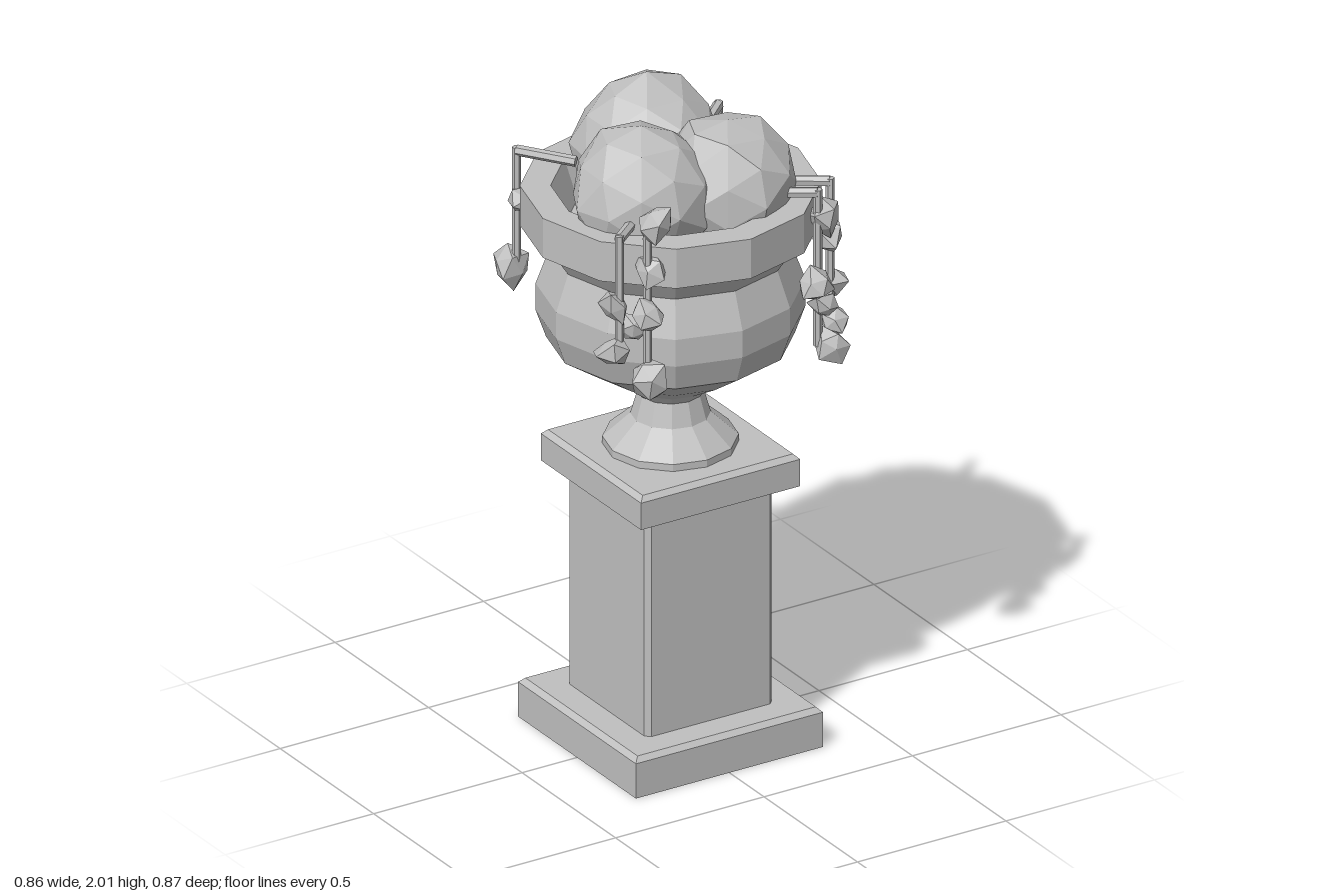
import * as THREE from 'three';

const stone = new THREE.MeshStandardMaterial({ color: 0xc0c0c0, flatShading: true });
stone.name = 'grey stone';

function add(parent, name, geometry, x = 0, y = 0, z = 0) {
  const mesh = new THREE.Mesh(geometry, stone);
  mesh.name = name;
  mesh.position.set(x, y, z);
  parent.add(mesh);
  return mesh;
}

// Square block tapering from half width a to half width b
function squareBlock(parent, name, a, b, y0, y1) {
  const g = new THREE.CylinderGeometry(b * Math.SQRT2, a * Math.SQRT2, y1 - y0, 4);
  g.rotateY(Math.PI / 4);
  return add(parent, name, g, 0, (y0 + y1) / 2, 0);
}

// Faceted lump: each corner is pushed in or out by a repeatable amount
function lump(radius, detail, rough, seed) {
  const g = new THREE.IcosahedronGeometry(radius, detail);
  const p = g.attributes.position;
  const v = new THREE.Vector3();
  for (let i = 0; i < p.count; i++) {
    v.fromBufferAttribute(p, i);
    const key = [v.x, v.y, v.z].map(c => Math.round(c / radius * 100));
    const h = Math.sin(key[0] * 12.9 + key[1] * 78.2 + key[2] * 37.7 + seed * 9.1) * 43758.5;
    v.multiplyScalar(1 + rough * ((h - Math.floor(h)) * 2 - 1));
    p.setXYZ(i, v.x, v.y, v.z);
  }
  g.computeVertexNormals();
  return g;
}

// Straight six-sided stem between two points
function stem(parent, name, a, b, radius) {
  const from = new THREE.Vector3(...a);
  const dir = new THREE.Vector3(...b).sub(from);
  const mesh = add(parent, name, new THREE.CylinderGeometry(radius, radius, dir.length(), 6));
  mesh.position.copy(from).addScaledVector(dir, 0.5);
  mesh.quaternion.setFromUnitVectors(new THREE.Vector3(0, 1, 0), dir.normalize());
}

function buildPedestal() {
  const group = new THREE.Group();
  group.name = 'pedestal';
  squareBlock(group, 'base', 0.315, 0.315, 0, 0.11);
  squareBlock(group, 'baseBevel', 0.315, 0.3, 0.11, 0.125);
  squareBlock(group, 'cap', 0.268, 0.268, 0.82, 0.905);
  squareBlock(group, 'capBevel', 0.268, 0.253, 0.905, 0.92);

  // Shaft with chamfered corners
  const w = 0.215, c = 0.2;
  const outline = new THREE.Shape([
    [w, -c], [w, c], [c, w], [-c, w], [-w, c], [-w, -c], [-c, -w], [c, -w],
  ].map(q => new THREE.Vector2(...q)));
  const shaft = new THREE.ExtrudeGeometry(outline, { depth: 0.7, bevelEnabled: false });
  shaft.rotateX(-Math.PI / 2);
  add(group, 'shaft', shaft, 0, 0.123, 0);
  return group;
}

function buildUrn() {
  // Foot, stem, bowl, rim and sunken inside in one profile
  const profile = [
    [0.195, 0.915], [0.195, 0.942], [0.115, 1.015], [0.095, 1.085], [0.115, 1.11],
    [0.235, 1.18], [0.355, 1.26], [0.385, 1.345], [0.385, 1.43], [0.345, 1.54],
    [0.395, 1.615], [0.43, 1.615], [0.43, 1.74], [0.342, 1.74], [0.3, 1.62], [0, 1.62],
  ].map(q => new THREE.Vector2(...q));
  const group = new THREE.Group();
  group.name = 'urn';
  add(group, 'urnBody', new THREE.LatheGeometry(profile, 12));
  return group;
}

function buildFoliage() {
  const group = new THREE.Group();
  group.name = 'foliage';
  [
    [0.03, 1.79, -0.175, 0.21],
    [-0.15, 1.78, 0.08, 0.205],
    [0.11, 1.77, 0.13, 0.205],
  ].forEach(([x, y, z, r], i) => {
    add(group, 'bush', lump(r, 1, 0.07, i + 1), x, y, z);
  });
  return group;
}

// Hanging vines: bar start (x, z), bar tip (x, z), lowest y, leaves (x, y, z, size)
const vines = [
  { from: [-0.18, -0.22], tip: [-0.295, -0.355], low: 1.4,
    leaves: [[-0.29, 1.62, -0.34, 0.045], [-0.3, 1.4, -0.38, 0.06]] },
  { from: [0.21, -0.18], tip: [0.35, -0.3], low: 1.37,
    leaves: [[0.37, 1.61, -0.28, 0.05], [0.32, 1.37, -0.31, 0.06]] },
  { from: [-0.24, 0.19], tip: [-0.355, 0.29], low: 1.42,
    leaves: [[-0.36, 1.56, 0.27, 0.052], [-0.31, 1.48, 0.29, 0.045], [-0.37, 1.42, 0.28, 0.05]] },
  { from: [-0.19, 0.235], tip: [-0.285, 0.33], low: 1.34,
    leaves: [[-0.265, 1.82, 0.345, 0.058], [-0.27, 1.67, 0.32, 0.056],
      [-0.31, 1.55, 0.36, 0.05], [-0.29, 1.34, 0.35, 0.062]] },
  { from: [0.24, 0.19], tip: [0.355, 0.29], low: 1.36,
    leaves: [[0.35, 1.61, 0.29, 0.05], [0.38, 1.44, 0.27, 0.05], [0.36, 1.34, 0.3, 0.05]] },
  { from: [0.19, 0.25], tip: [0.285, 0.335], low: 1.29,
    leaves: [[0.32, 1.68, 0.32, 0.055], [0.26, 1.5, 0.36, 0.055],
      [0.3, 1.42, 0.35, 0.045], [0.32, 1.29, 0.35, 0.06]] },
];

function buildVine({ from, tip, low, leaves }, index) {
  const group = new THREE.Group();
  group.name = 'vine';
  const top = 1.775;
  stem(group, 'vineBar', [from[0], top - 0.01, from[1]], [tip[0], top, tip[1]], 0.016);
  stem(group, 'vineStem', [tip[0], top + 0.01, tip[1]], [tip[0], low, tip[1]], 0.013);
  leaves.forEach(([x, y, z, r], i) => {
    const leaf = add(group, 'leaf', lump(r, 0, 0.3, index * 7 + i), x, y, z);
    leaf.scale.y = 0.85;
    leaf.rotation.set(i * 1.3 + index, i * 2.1, index * 0.7);
  });
  return group;
}

export function createModel() {
  const model = new THREE.Group();
  model.name = 'planterOnPedestal';
  model.add(buildPedestal(), buildUrn(), buildFoliage());
  vines.forEach((vine, i) => model.add(buildVine(vine, i)));
  return model;
}
